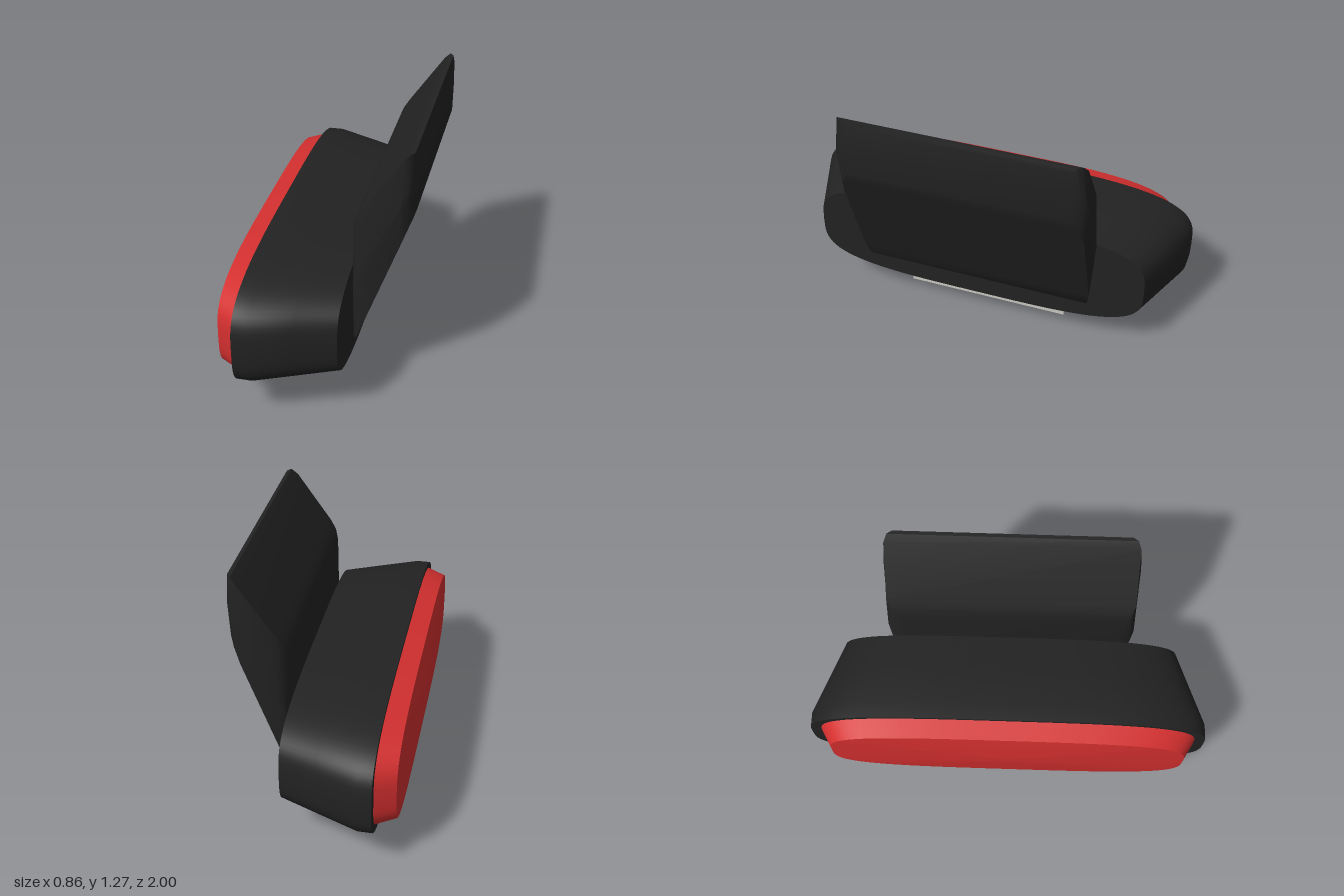
import * as THREE from 'three';
import { toCreasedNormals } from 'three/addons/utils/BufferGeometryUtils.js';

// Closed skin over cross-sections that follow each other along +x
function loft(rings, crease) {
  const n = rings[0].length, pos = [], idx = [];
  rings.forEach(r => r.forEach(p => pos.push(...p)));
  for (let s = 0; s < rings.length - 1; s++) {
    for (let i = 0; i < n; i++) {
      const j = (i + 1) % n, a = s * n, b = a + n;
      idx.push(a + i, b + i, a + j, b + i, b + j, a + j);
    }
  }
  [rings[0], rings[rings.length - 1]].forEach((r, end) => {
    const c = pos.length / 3, o = end ? (rings.length - 1) * n : 0;
    const mid = [0, 1, 2].map(k => r.reduce((sum, p) => sum + p[k], 0) / n);
    pos.push(...mid);
    for (let i = 0; i < n; i++) {
      const j = (i + 1) % n;
      if (end) idx.push(c, o + j, o + i);
      else idx.push(c, o + i, o + j);
    }
  });
  const g = new THREE.BufferGeometry();
  g.setAttribute('position', new THREE.Float32BufferAttribute(pos, 3));
  g.setIndex(idx);
  return toCreasedNormals(g, crease);
}

// Rounded-oblong section at x with half width w (z) and half height h (y)
function oblong(x, w, h, n = 80) {
  const soft = v => Math.sign(v) * Math.abs(v) ** (2 / 3.5);
  return Array.from({ length: n }, (_, i) => {
    const a = (i / n) * Math.PI * 2;
    return [x, 0.408 + h * soft(Math.sin(a)), w * soft(Math.cos(a))];
  });
}

export function createModel() {
  const mat = (name, color) => {
    const m = new THREE.MeshStandardMaterial({ color });
    m.name = name;
    return m;
  };
  const black = mat('black plastic', 0x222222);
  const red = mat('red lens', 0xd32f2f);
  const grey = mat('light grey', 0xc9c7c0);

  const group = new THREE.Group();
  const add = (name, geometry, material) => {
    const m = new THREE.Mesh(geometry, material);
    m.name = name;
    group.add(m);
    return m;
  };

  // Housing: widest near the lens, tapering towards the clip
  add('housing', loft([
    oblong(-0.31, 1, 0.298), oblong(-0.24, 1, 0.298),
    oblong(-0.05, 0.93, 0.278), oblong(0.14, 0.86, 0.257),
  ], 0.5), black);

  // Lens: bevelled rim and a shallow dome
  const dome = [0.02, 0.25, 0.5, 0.75, 1].map(t =>
    oblong(-0.405 - 0.025 * (1 - t ** 1.4), 0.893 * t, 0.266 * t));
  add('lens', loft([...dome, oblong(-0.305, 0.95, 0.284)], 0.5), red);

  // Clip: slanted plate; each row is x, half width, bottom, top
  const clip = [
    [0.143, 0.555, 0.27, 0.86], [0.15, 0.58, 0.26, 0.9],
    [0.165, 0.605, 0.275, 0.94], [0.195, 0.62, 0.355, 0.985],
    [0.37, 0.62, 0.825, 1.235], [0.4, 0.605, 0.905, 1.268],
    [0.418, 0.58, 0.95, 1.268], [0.428, 0.555, 0.978, 1.245],
  ].map(([x, w, lo, hi]) => {
    const mid = (lo + hi) / 2, e = w - 0.02;
    return [[x, lo, e], [x, mid, w], [x, hi, e], [x, hi, -e], [x, mid, -w], [x, lo, -e]];
  });
  add('clip', loft(clip, 0.6), black);

  // Foot block under the housing
  add('footBlock', new THREE.BoxGeometry(0.193, 0.18, 0.855), grey)
    .position.set(-0.0965, 0.09, 0);

  return group;
}
